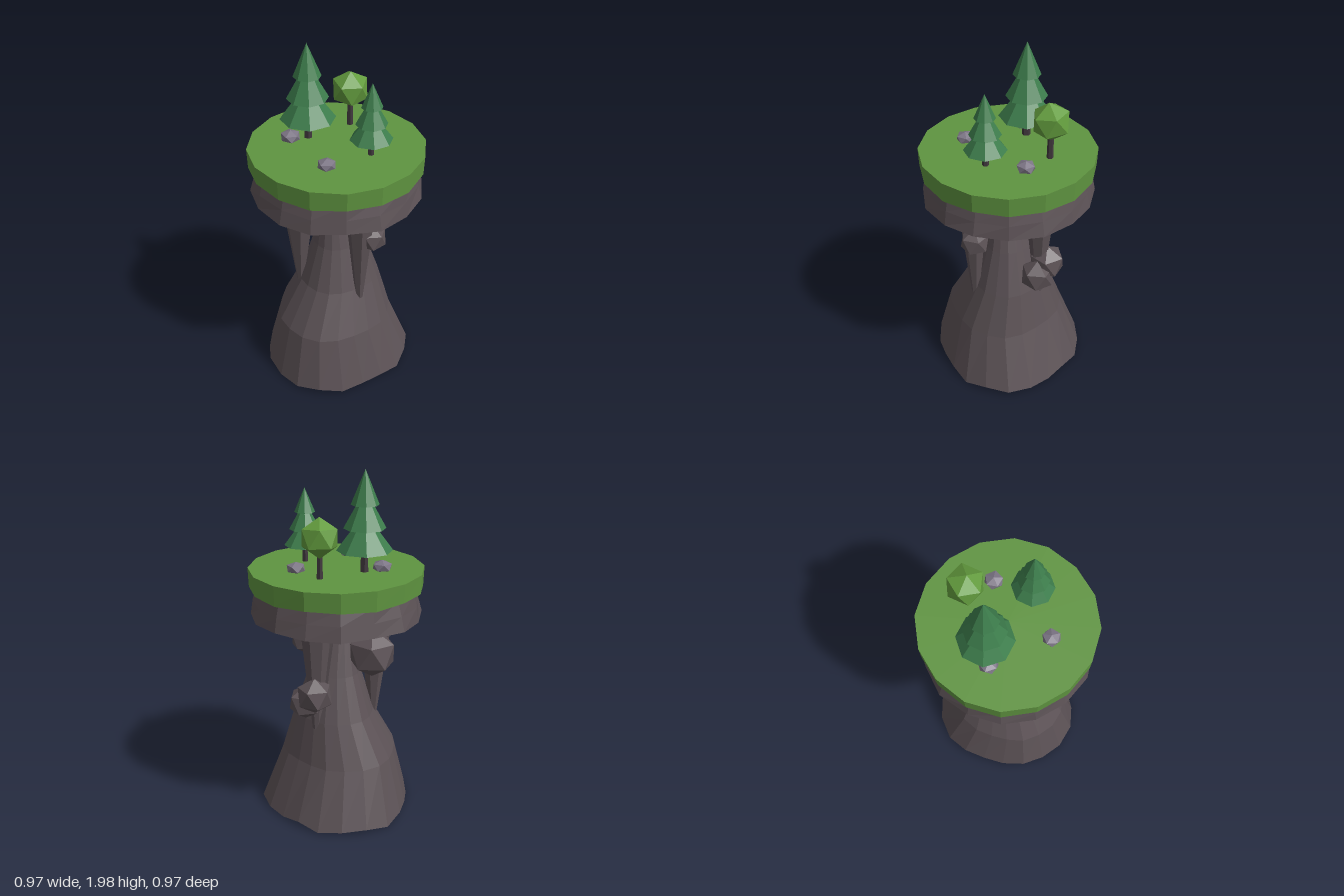
import * as THREE from 'three';

const flat = (name, color) => {
  const m = new THREE.MeshStandardMaterial({ color, flatShading: true });
  m.name = name;
  return m;
};

// Closed loft through rings of { y, r, x, z }, with a wobble per ring and side
function loft(rings, sides, wobble) {
  const pos = [], index = [];
  rings.forEach((g, k) => {
    for (let i = 0; i < sides; i++) {
      const a = (i / sides) * Math.PI * 2;
      const w = wobble(a, i, k);
      const r = g.r * (1 + w.r);
      pos.push((g.x || 0) + Math.cos(a) * r, g.y + w.y, (g.z || 0) + Math.sin(a) * r);
    }
  });
  for (let k = 0; k < rings.length - 1; k++) {
    for (let i = 0; i < sides; i++) {
      const j = (i + 1) % sides, a = k * sides, b = a + sides;
      index.push(a + i, b + i, a + j, a + j, b + i, b + j);
    }
  }
  const last = rings.length - 1, c = pos.length / 3;
  [rings[0], rings[last]].forEach((g) => pos.push(g.x || 0, g.y, g.z || 0));
  for (let i = 0; i < sides; i++) {
    const j = (i + 1) % sides, t = last * sides;
    index.push(c, i, j, c + 1, t + j, t + i);
  }
  const geo = new THREE.BufferGeometry();
  geo.setAttribute('position', new THREE.Float32BufferAttribute(pos, 3));
  geo.setIndex(index);
  const out = geo.toNonIndexed();
  out.computeVertexNormals();
  return out;
}

// Icosahedron turned so that one corner points up
const gem = (r) => new THREE.IcosahedronGeometry(r, 0).rotateZ(-0.5536);

export function createModel() {
  const model = new THREE.Group();
  model.name = 'floatingIslandPillar';
  const rock = flat('darkRock', 0x5c5256);
  const grass = flat('grass', 0x5f9440);
  const pine = flat('pineGreen', 0x3d7d4c);
  const leaf = flat('leafGreen', 0x639c3e);
  const bark = flat('bark', 0x40383d);
  const stone = flat('paleStone', 0x7d7686);

  const add = (parent, name, geo, mat, x = 0, y = 0, z = 0) => {
    const m = new THREE.Mesh(geo, mat);
    m.name = name;
    m.position.set(x, y, z);
    parent.add(m);
    return m;
  };

  // Flared, ridged pillar
  const ridge = [0.06, 0.01, -0.03, 0.03, 0.06, -0.04, 0.02];
  add(model, 'pillar', loft([
    { y: 0.03, r: 0.425, x: -0.01 },
    { y: 0.35, r: 0.325, x: -0.03, z: 0.02 },
    { y: 0.6, r: 0.225, x: 0.005 },
    { y: 0.85, r: 0.145, x: 0.005 },
    { y: 1.05, r: 0.095, x: -0.01, z: 0.005 },
    { y: 1.2, r: 0.07, x: -0.015, z: 0.015 },
  ], 20, (a, i, k) => ({
    r: ridge[(i * 3) % 7] * (k < 4 ? 1 : 0.5),
    y: k === 0 ? 0.014 * Math.sin(i * 2.3) : 0,
  })), rock);

  // Rock slab under the turf
  const edge = (a, i, k) => ({
    r: 0.012 * Math.sin(i * 2.7 + k),
    y: k === 0 ? 0.006 * Math.sin(i * 1.9) : 0,
  });
  add(model, 'rockSlab', loft([
    { y: 1.19, r: 0.475 }, { y: 1.27, r: 0.458 }, { y: 1.35, r: 0.438 },
  ], 16, edge), rock);

  // Turf disc
  add(model, 'turf', loft([
    { y: 1.345, r: 0.477 }, { y: 1.453, r: 0.481 },
  ], 16, (a, i, k) => ({
    r: 0.007 * Math.sin(i * Math.PI / 2 + 1.5),
    y: k === 0 ? 0.005 * Math.sin(i * 2.1) : 0,
  })), grass);

  // Tapered hanging spires: x, z, top y, bottom y, top radius
  [
    [0.11, 0.19, 1.2, 0.54, 0.093],
    [0.12, -0.175, 1.2, 0.56, 0.09],
    [-0.215, 0.02, 1.06, 0.57, 0.09],
  ].forEach(([x, z, top, bottom, r]) => {
    add(model, 'hangingSpire', new THREE.CylinderGeometry(r, 0.022, top - bottom, 7),
      rock, x, (top + bottom) / 2, z);
  });

  // Boulders stuck to the pillar: x, y, z, radius, turn
  [
    [0.175, 0.96, 0.185, 0.087, 0.3],
    [0.18, 0.72, -0.165, 0.1, 0.5],
    [0.13, 0.78, -0.22, 0.105, 1.1],
    [-0.19, 1.0, -0.145, 0.14, 0.2],
  ].forEach(([x, y, z, r, turn]) => {
    add(model, 'boulder', gem(r), rock, x, y, z).rotation.y = turn;
  });

  // Pines: position, trunk radius, tiers of [bottom y, radius, apex y]
  [
    { x: -0.145, z: -0.1, trunk: 0.024, tiers: [[1.57, 0.152, 1.775], [1.69, 0.114, 1.895], [1.815, 0.076, 2]] },
    { x: 0.168, z: 0.118, trunk: 0.018, tiers: [[1.545, 0.115, 1.7], [1.635, 0.086, 1.79], [1.73, 0.057, 1.865]] },
  ].forEach(({ x, z, trunk, tiers }) => {
    const tree = new THREE.Group();
    tree.name = 'pineTree';
    tree.position.set(x, 0, z);
    const h = tiers[0][0] - 1.42;
    add(tree, 'pineTrunk', new THREE.CylinderGeometry(trunk * 0.85, trunk, h, 6), bark, 0, 1.43 + h / 2, 0);
    tiers.forEach(([y, r, apex]) => {
      add(tree, 'pineTier', new THREE.ConeGeometry(r, apex - y, 8), pine, 0, (apex + y) / 2, 0);
    });
    model.add(tree);
  });

  // Round tree
  const roundTree = new THREE.Group();
  roundTree.name = 'roundTree';
  roundTree.position.set(0.097, 0, -0.22);
  add(roundTree, 'roundTrunk', new THREE.CylinderGeometry(0.015, 0.019, 0.18, 6), bark, 0, 1.52, 0);
  add(roundTree, 'roundCrown', gem(0.108), leaf, 0, 1.67, 0).rotation.set(0.12, 0.3, 0);
  model.add(roundTree);

  // Flattened stones on the turf
  [[-0.243, -0.08, 0.058], [-0.077, 0.23, 0.053], [0.221, -0.09, 0.055]].forEach(([x, z, r], i) => {
    const s = add(model, 'turfStone', gem(r), stone, x, 1.474, z);
    s.scale.y = 0.62;
    s.rotation.y = 0.4 + i;
  });

  return model;
}
